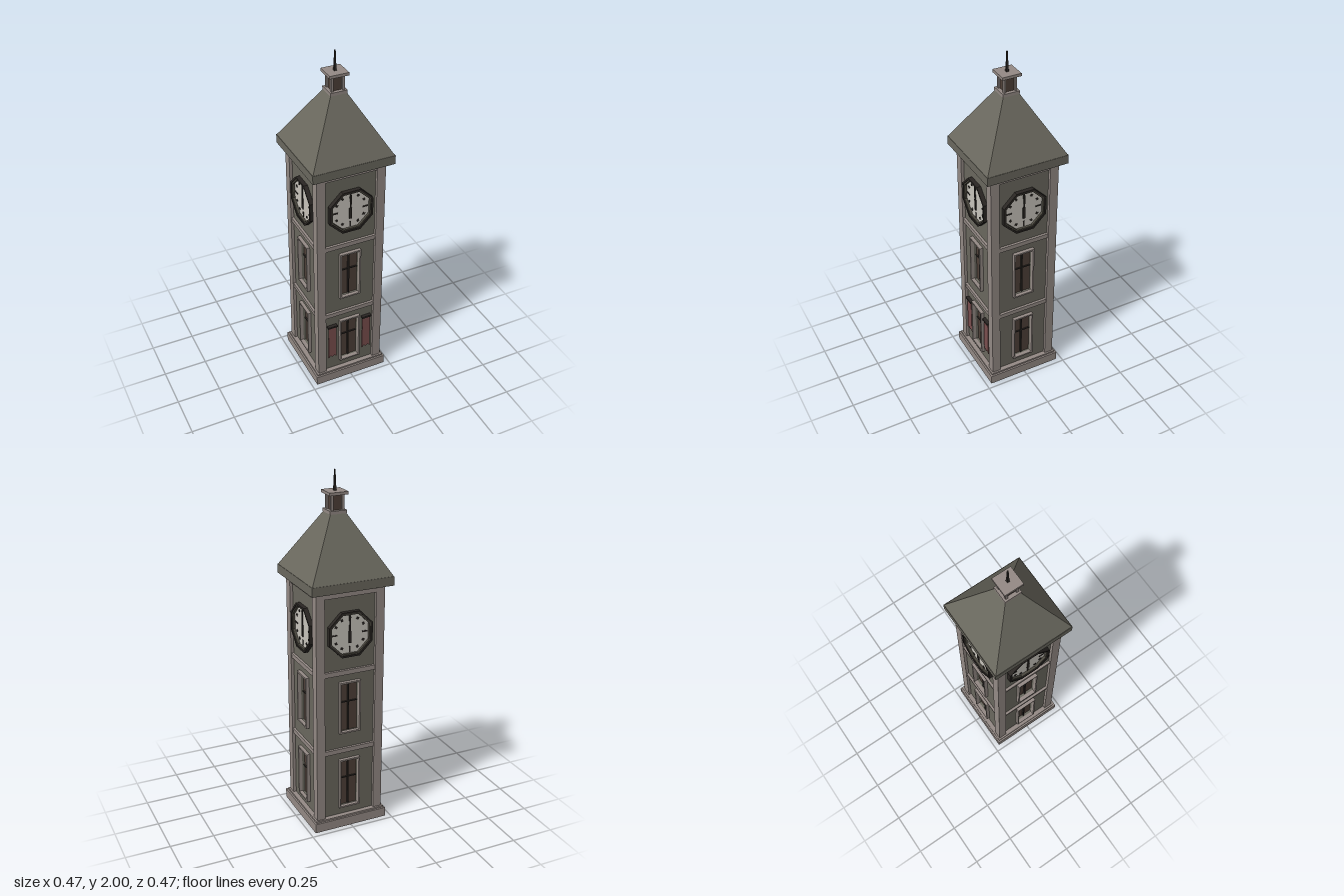
import * as THREE from 'three';

const mat = (name, color) => {
  const m = new THREE.MeshStandardMaterial({ color });
  m.name = name;
  return m;
};

export function createModel() {
  const wall = mat('wallStone', 0x6a685e);
  const trim = mat('paleStone', 0x948a85);
  const glass = mat('brownGlass', 0x4e4038);
  const dark = mat('darkIron', 0x2a2623);
  const bronze = mat('clockRim', 0x4a473e);
  const white = mat('clockFace', 0xc8c4bc);
  const red = mat('bannerCloth', 0x7a4f4e);

  const root = new THREE.Group();
  root.name = 'clockTower';

  const add = (parent, name, geo, material, x = 0, y = 0, z = 0) => {
    const m = new THREE.Mesh(geo, material);
    m.name = name;
    m.position.set(x, y, z);
    parent.add(m);
    return m;
  };
  // box given by its size, bottom and top heights
  const slab = (parent, name, w, y0, y1, d, material, x = 0, z = 0) =>
    add(parent, name, new THREE.BoxGeometry(w, y1 - y0, d), material, x, (y0 + y1) / 2, z);
  // square frustum with flat faces
  const frustum = (half1, half0, h) => {
    const g = new THREE.CylinderGeometry(half1 * Math.SQRT2, half0 * Math.SQRT2, h, 4)
      .rotateY(Math.PI / 4).toNonIndexed();
    g.computeVertexNormals();
    return g;
  };
  const rect = (C, x0, y0, x1, y1) => {
    const p = new C();
    p.moveTo(x0, y0); p.lineTo(x1, y0); p.lineTo(x1, y1); p.lineTo(x0, y1); p.closePath();
    return p;
  };
  const octagon = (C, apothem) => {
    const r = apothem / Math.cos(Math.PI / 8);
    return new C().setFromPoints(Array.from({ length: 8 }, (_, i) => {
      const a = (i + 0.5) * Math.PI / 4;
      return new THREE.Vector2(r * Math.cos(a), r * Math.sin(a));
    }));
  };
  const extrude = (shape, depth) => new THREE.ExtrudeGeometry(shape, { depth, bevelEnabled: false });

  // base and core
  slab(root, 'plinth', 0.44, 0, 0.055, 0.44, trim);
  slab(root, 'plinthStep', 0.42, 0.055, 0.065, 0.42, trim);
  slab(root, 'core', 0.32, 0.06, 1.41, 0.32, wall);
  for (const x of [-1, 1]) for (const z of [-1, 1])
    slab(root, 'cornerPillar', 0.05, 0.06, 1.41, 0.05, trim, x * 0.175, z * 0.175);

  const windows = [[0.115, 0.415], [0.585, 0.885]];

  function buildWindow(side, y0, y1) {
    slab(side, 'windowPane', 0.112, y0, y1, 0.004, glass, 0, 0.164);
    const frame = rect(THREE.Shape, -0.063, y0 - 0.003, 0.063, y1 + 0.003);
    frame.holes.push(rect(THREE.Path, -0.054, y0 + 0.006, 0.054, y1 - 0.006));
    add(side, 'windowFrame', extrude(frame, 0.021), trim, 0, 0, 0.182);
    slab(side, 'windowMullion', 0.008, y0 + 0.006, y1 - 0.006, 0.012, dark, 0, 0.171);
    const mid = (y0 + y1) / 2 + 0.025;
    slab(side, 'windowCrossbar', 0.108, mid - 0.003, mid + 0.003, 0.008, dark, 0, 0.169);
  }

  function buildClock(side) {
    const clock = new THREE.Group();
    clock.name = 'clock';
    clock.position.set(0, 1.162, 0);
    side.add(clock);
    const ring = (outer, inner, depth, material, name) => {
      const s = octagon(THREE.Shape, outer);
      s.holes.push(octagon(THREE.Path, inner));
      add(clock, name, extrude(s, depth), material, 0, 0, 0.18);
    };
    ring(0.127, 0.117, 0.027, dark, 'clockOuterRim');
    ring(0.118, 0.109, 0.022, bronze, 'clockInnerRim');
    add(clock, 'clockDial', extrude(octagon(THREE.Shape, 0.112), 0.008), white, 0, 0, 0.18);
    // hour marks, longer at the quarters
    for (let i = 0; i < 12; i++) {
      const a = i * Math.PI / 6, quarter = i % 3 === 0;
      const r = quarter ? 0.088 : 0.092;
      const m = add(clock, 'hourMark', new THREE.BoxGeometry(quarter ? 0.032 : 0.013, quarter ? 0.008 : 0.013, 0.004),
        dark, r * Math.cos(a), r * Math.sin(a), 0.189);
      m.rotation.z = a;
    }
    slab(clock, 'minuteHand', 0.009, -0.02, 0.096, 0.005, dark, 0, 0.193);
    slab(clock, 'hourHand', 0.015, -0.052, 0.015, 0.005, dark, 0, 0.192);
  }

  // four matching sides
  for (let i = 0; i < 4; i++) {
    const side = new THREE.Group();
    side.name = ['frontSide', 'leftSide', 'backSide', 'rightSide'][i];
    side.rotation.y = i * Math.PI / 2;
    root.add(side);
    const panel = rect(THREE.Shape, -0.165, 0.06, 0.165, 1.41);
    for (const [y0, y1] of windows) panel.holes.push(rect(THREE.Path, -0.055, y0, 0.055, y1));
    add(side, 'wallPanel', extrude(panel, 0.025), wall, 0, 0, 0.158);
    for (const [y0, y1] of windows) buildWindow(side, y0, y1);
    for (const y of [0.46, 0.93, 1.372]) {
      slab(side, 'stringCourse', 0.3, y, y + 0.026, 0.014, trim, 0, 0.188);
      slab(side, 'stringCourseLip', 0.3, y + 0.018, y + 0.028, 0.018, trim, 0, 0.188);
    }
    buildClock(side);
  }

  // banners beside the front door
  for (const s of [-1, 1]) {
    const cloth = new THREE.Shape();
    cloth.moveTo(-0.025, 0.385);
    cloth.lineTo(-0.025, 0.155);
    cloth.lineTo(-0.012, 0.168);
    cloth.lineTo(0, 0.158);
    cloth.lineTo(0.012, 0.168);
    cloth.lineTo(0.025, 0.155);
    cloth.lineTo(0.025, 0.385);
    add(root, 'banner', extrude(cloth, 0.006), red, s * 0.108, 0, 0.19);
    slab(root, 'bannerRod', 0.058, 0.383, 0.394, 0.02, dark, s * 0.108, 0.193);
  }

  // roof
  slab(root, 'eaves', 0.47, 1.41, 1.46, 0.47, wall);
  add(root, 'roof', frustum(0.04, 0.233, 0.325), wall, 0, 1.6225, 0);

  // lantern and spire
  slab(root, 'lanternBase', 0.096, 1.775, 1.792, 0.096, trim);
  slab(root, 'lanternCore', 0.056, 1.79, 1.875, 0.056, glass);
  for (const x of [-1, 1]) for (const z of [-1, 1])
    slab(root, 'lanternPost', 0.013, 1.79, 1.875, 0.013, trim, x * 0.031, z * 0.031);
  slab(root, 'lanternCap', 0.108, 1.874, 1.89, 0.108, trim);
  add(root, 'spireBase', frustum(0.005, 0.007, 0.04), dark, 0, 1.91, 0);
  add(root, 'spire', frustum(0.003, 0.005, 0.07), dark, 0, 1.965, 0);

  return root;
}
